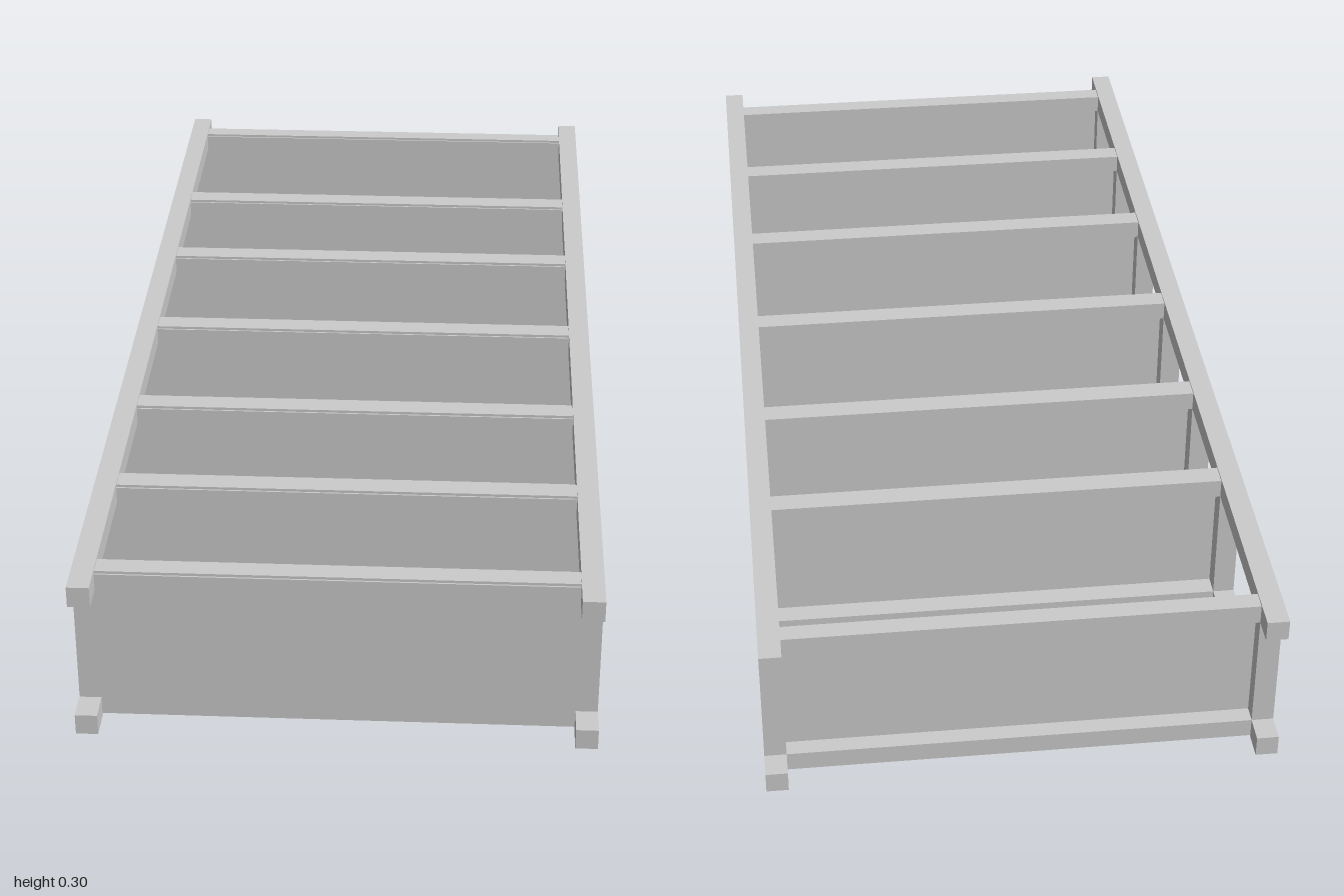
import * as THREE from 'three';

export function createModel() {
  const group = new THREE.Group();
  group.name = 'shelfUnit';
  const material = new THREE.MeshStandardMaterial({ color: 0xcccccc, flatShading: true });

  // Box given by its lower and upper limits
  function box(name, [x0, x1], [y0, y1], [z0, z1]) {
    const mesh = new THREE.Mesh(new THREE.BoxGeometry(x1 - x0, y1 - y0, z1 - z0), material);
    mesh.position.set((x0 + x1) / 2, (y0 + y1) / 2, (z0 + z1) / 2);
    mesh.name = name;
    group.add(mesh);
  }

  const outer = 0.452, inner = 0.413, height = 0.304, bar = 0.039;
  const sides = { left: [inner, outer], right: [-outer, -inner] };
  const levels = { lower: [0, bar], upper: [height - bar, height] };

  // Four long corner rails
  for (const [side, xs] of Object.entries(sides)) {
    for (const [level, ys] of Object.entries(levels)) box(`${side}${level}Rail`, xs, ys, [-1, 1]);
  }

  // Back and front limits of each shelf frame
  const shelves = [
    [-0.952, -0.918], [-0.592, -0.551], [-0.31, -0.268], [0.012, 0.053],
    [0.335, 0.376], [0.622, 0.663], [0.906, 0.943],
  ];
  shelves.forEach(([back, front], i) => {
    const n = i + 1;
    // Side struts between the rails
    for (const [side, xs] of Object.entries(sides)) {
      box(`${side}Strut${n}`, xs, [bar, height - bar], [back, front]);
    }
    // Crossbars
    box(`lowerCrossbar${n}`, [-inner, inner], [0.003, bar], [back, front]);
    box(`upperCrossbar${n}`, [-inner, inner], [height - bar, height - 0.003], [back, front]);
    // Thin board fixed over the front of the frame
    box(`shelfBoard${n}`, [-0.451, 0.451], [0.009, height - 0.008], [front - 0.003, front + 0.003]);
  });

  return group;
}
